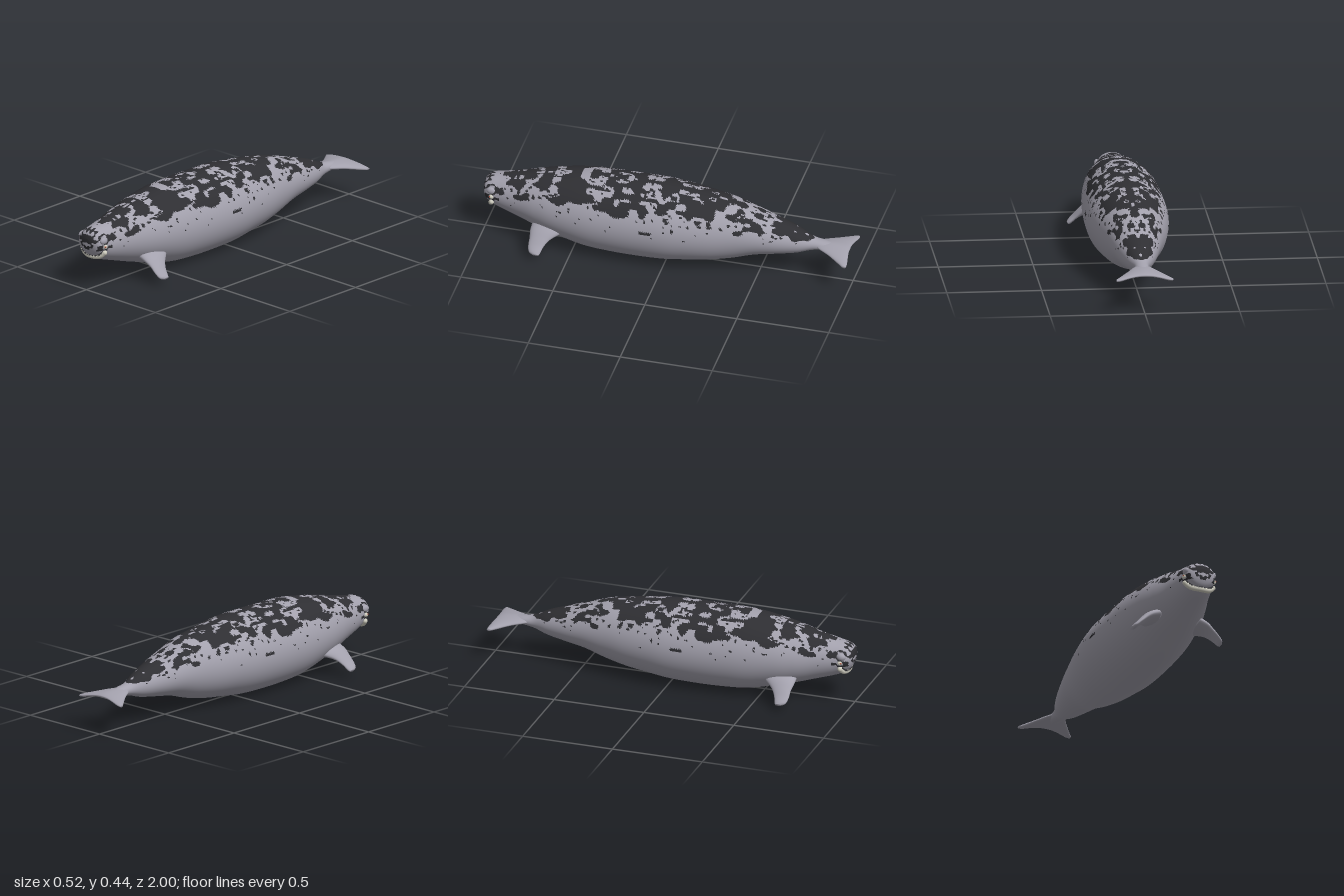
import * as THREE from 'three';

const skin = new THREE.MeshStandardMaterial({ color: 0xa3a1ad });
const darkSkin = new THREE.MeshStandardMaterial({ color: 0x2f2f33 });
const cream = new THREE.MeshStandardMaterial({ color: 0xcfcdc0 });
const red = new THREE.MeshStandardMaterial({ color: 0xa8503f });

// Repeatable value noise, 0..1
function hash(x, y, z) {
  const s = Math.sin(x * 127.1 + y * 311.7 + z * 74.7) * 43758.5453;
  return s - Math.floor(s);
}
function noise(x, y, z) {
  const c = [x, y, z].map(Math.floor);
  const f = [x - c[0], y - c[1], z - c[2]].map(t => t * t * (3 - 2 * t));
  let sum = 0;
  for (let k = 0; k < 8; k++) {
    const o = [k & 1, (k >> 1) & 1, k >> 2];
    const weight = o.reduce((w, b, i) => w * (b ? f[i] : 1 - f[i]), 1);
    sum += weight * hash(c[0] + o[0], c[1] + o[1], c[2] + o[2]);
  }
  return sum;
}

// Closed skin over a row of rings; rings run anticlockwise seen from the first end
function loft(rings) {
  const n = rings[0].length, last = rings.length - 1;
  const pos = rings.flat().flatMap(p => [p.x, p.y, p.z]);
  const index = [];
  for (let i = 0; i < last; i++) {
    for (let j = 0; j < n; j++) {
      const a = i * n + j, b = i * n + (j + 1) % n;
      index.push(a, a + n, b, b, a + n, b + n);
    }
  }
  for (const e of [0, last]) {
    const mid = new THREE.Vector3();
    rings[e].forEach(p => mid.addScaledVector(p, 1 / n));
    const m = pos.length / 3;
    pos.push(mid.x, mid.y, mid.z);
    for (let j = 0; j < n; j++) {
      const a = e * n + j, b = e * n + (j + 1) % n;
      index.push(m, e ? b : a, e ? a : b);
    }
  }
  const geo = new THREE.BufferGeometry();
  geo.setAttribute('position', new THREE.Float32BufferAttribute(pos, 3));
  geo.setIndex(index);
  geo.computeVertexNormals();
  return geo;
}

// Fin: sections [x, y, middle z, half chord, half thickness] along a curve
function blade(sections, steps = 32, sides = 28) {
  const path = new THREE.CatmullRomCurve3(sections.map(s => new THREE.Vector3(s[0], s[1], s[2])), false, 'catmullrom');
  const size = new THREE.CatmullRomCurve3(sections.map(s => new THREE.Vector3(s[3], s[4], 0)), false, 'catmullrom');
  const rings = [];
  for (let i = 0; i <= steps; i++) {
    const c = path.getPoint(i / steps), s = size.getPoint(i / steps), t = path.getTangent(i / steps);
    const len = Math.hypot(t.x, t.y), vx = -t.y / len, vy = t.x / len;
    rings.push(Array.from({ length: sides }, (_, j) => {
      const a = j / sides * Math.PI * 2, q = Math.sin(a) * s.y;
      return new THREE.Vector3(c.x + vx * q, c.y + vy * q, c.z + Math.cos(a) * s.x);
    }));
  }
  return loft(rings);
}

// Body profile: [z, half width, top, bottom]
const profile = [
  [1, 0.022, 0.285, 0.245], [0.994, 0.052, 0.305, 0.22], [0.98, 0.073, 0.323, 0.195],
  [0.95, 0.085, 0.336, 0.17], [0.9, 0.096, 0.346, 0.147], [0.8, 0.122, 0.367, 0.114],
  [0.7, 0.155, 0.39, 0.082], [0.6, 0.181, 0.41, 0.054], [0.44, 0.205, 0.434, 0.014],
  [0.3, 0.214, 0.438, 0.002], [0.15, 0.218, 0.438, 0], [0, 0.216, 0.435, 0.005],
  [-0.12, 0.203, 0.423, 0.02], [-0.24, 0.183, 0.407, 0.036], [-0.36, 0.156, 0.388, 0.062],
  [-0.48, 0.13, 0.35, 0.1], [-0.6, 0.102, 0.31, 0.122], [-0.7, 0.072, 0.276, 0.14],
  [-0.78, 0.041, 0.238, 0.165], [-0.85, 0.034, 0.224, 0.178], [-0.93, 0.018, 0.213, 0.19],
];

function bodyGeometry() {
  const upper = new THREE.CatmullRomCurve3(profile.map(p => new THREE.Vector3(p[0], p[1], p[2])), false, 'catmullrom');
  const lower = new THREE.CatmullRomCurve3(profile.map(p => new THREE.Vector3(p[0], p[3], 0)), false, 'catmullrom');
  const steps = 300, sides = 128, rings = [];
  for (let i = 0; i <= steps; i++) {
    const u = upper.getPoint(i / steps), b = lower.getPoint(i / steps).y;
    const mid = (u.z + b) / 2, half = (u.z - b) / 2;
    rings.push(Array.from({ length: sides }, (_, j) => {
      const a = j / sides * Math.PI * 2;
      return new THREE.Vector3(u.y * Math.cos(a), mid + half * Math.sin(a), u.x);
    }));
  }
  return loft(rings);
}

// Mirrored dark blotches on the back, fading to small flecks on the flanks
function isDark(x, y, z, up) {
  if (z < -0.79 || y < 0.225) return false;
  x = Math.abs(x);
  const head = z > 0.9;
  const k = head ? 1.8 : 1;
  const blotch = noise(x * 32 * k, y * 32 * k, z * 20 * k + 50);
  const fleck = noise(x * 75 + 9, y * 75, z * 48 + 90);
  const high = THREE.MathUtils.smoothstep(up, 0.05, 0.8);
  return head
    ? blotch * 0.6 + fleck * 0.4 > 0.52
    : blotch > 0.86 - 0.43 * high || fleck > 0.88 - 0.2 * high;
}

function addBody(group) {
  const geo = bodyGeometry(), pos = geo.attributes.position, nor = geo.attributes.normal;
  const idx = geo.index.array, pale = [], dark = [];
  for (let i = 0; i < idx.length; i += 3) {
    const t = [idx[i], idx[i + 1], idx[i + 2]];
    const avg = (attr, f) => (attr[f](t[0]) + attr[f](t[1]) + attr[f](t[2])) / 3;
    const spot = isDark(avg(pos, 'getX'), avg(pos, 'getY'), avg(pos, 'getZ'), avg(nor, 'getY'));
    (spot ? dark : pale).push(...t);
  }
  for (const [name, list, mat] of [['body', pale, skin], ['bodyMottling', dark, darkSkin]]) {
    const part = new THREE.BufferGeometry();
    part.setAttribute('position', pos);
    part.setAttribute('normal', nor);
    part.setIndex(list);
    add(group, name, part, mat);
  }
}

function add(group, name, geo, mat, position = [0, 0, 0], scale = [1, 1, 1]) {
  const mesh = new THREE.Mesh(geo, mat);
  mesh.name = name;
  mesh.position.set(...position);
  mesh.scale.set(...scale);
  group.add(mesh);
  return mesh;
}

export function createModel() {
  const group = new THREE.Group();
  group.name = 'seaMammal';
  addBody(group);

  // Tail flukes, tip to tip
  const half = [[0.149, 0.18, -0.988, 0.01, 0.006], [0.125, 0.184, -0.973, 0.026, 0.01],
    [0.08, 0.194, -0.938, 0.054, 0.012], [0.04, 0.2, -0.902, 0.084, 0.015]];
  const flukes = [...half.map(([x, ...r]) => [-x, ...r]), [0, 0.202, -0.883, 0.102, 0.018], ...half.slice().reverse()];
  add(group, 'tailFlukes', blade(flukes, 64), skin);

  for (const s of [1, -1]) {
    const side = s > 0 ? 'left' : 'right';
    // Flipper, broad at the root and angled down to the tip
    add(group, side + 'Flipper', blade([
      [0.11 * s, 0.14, 0.61, 0.105, 0.036], [0.155 * s, 0.122, 0.635, 0.08, 0.027],
      [0.19 * s, 0.098, 0.655, 0.054, 0.018], [0.22 * s, 0.07, 0.667, 0.041, 0.013],
      [0.245 * s, 0.046, 0.668, 0.031, 0.012], [0.257 * s, 0.037, 0.66, 0.016, 0.008],
    ]), skin);
    // Brow ridge, eye and reddish eye corner
    const ball = new THREE.SphereGeometry(1, 20, 14);
    add(group, side + 'Brow', ball, skin, [0.076 * s, 0.279, 0.948], [0.016, 0.02, 0.026]);
    add(group, side + 'Eye', ball, cream, [0.086 * s, 0.247, 0.945], [0.011, 0.012, 0.013]);
    add(group, side + 'EyeCorner', ball, red, [0.092 * s, 0.249, 0.951], [0.005, 0.005, 0.006]);
  }

  // Lower lip wrapped round the snout
  const lipCurve = new THREE.CatmullRomCurve3([
    [-0.08, 0.212, 0.945], [-0.053, 0.189, 0.956], [0, 0.182, 0.966], [0.053, 0.189, 0.956], [0.08, 0.212, 0.945],
  ].map(p => new THREE.Vector3(...p)));
  add(group, 'lowerLip', new THREE.TubeGeometry(lipCurve, 48, 0.014, 12), cream);
  for (const t of [0, 1]) add(group, 'lipCorner', new THREE.SphereGeometry(0.014, 12, 10), cream, lipCurve.getPoint(t).toArray());

  // Ragged dark bristles along the mouth line
  const bristle = new THREE.ConeGeometry(0.004, 0.016, 5);
  for (let i = 0; i <= 26; i++) {
    const p = lipCurve.getPoint(0.04 + 0.92 * i / 26);
    const m = add(group, 'mouthBristle', bristle, darkSkin, [p.x, p.y + 0.009 + 0.005 * hash(i, 1, 2), p.z + 0.011]);
    m.rotation.z = (hash(i, 3, 5) - 0.5) * 1.6;
  }
  return group;
}
